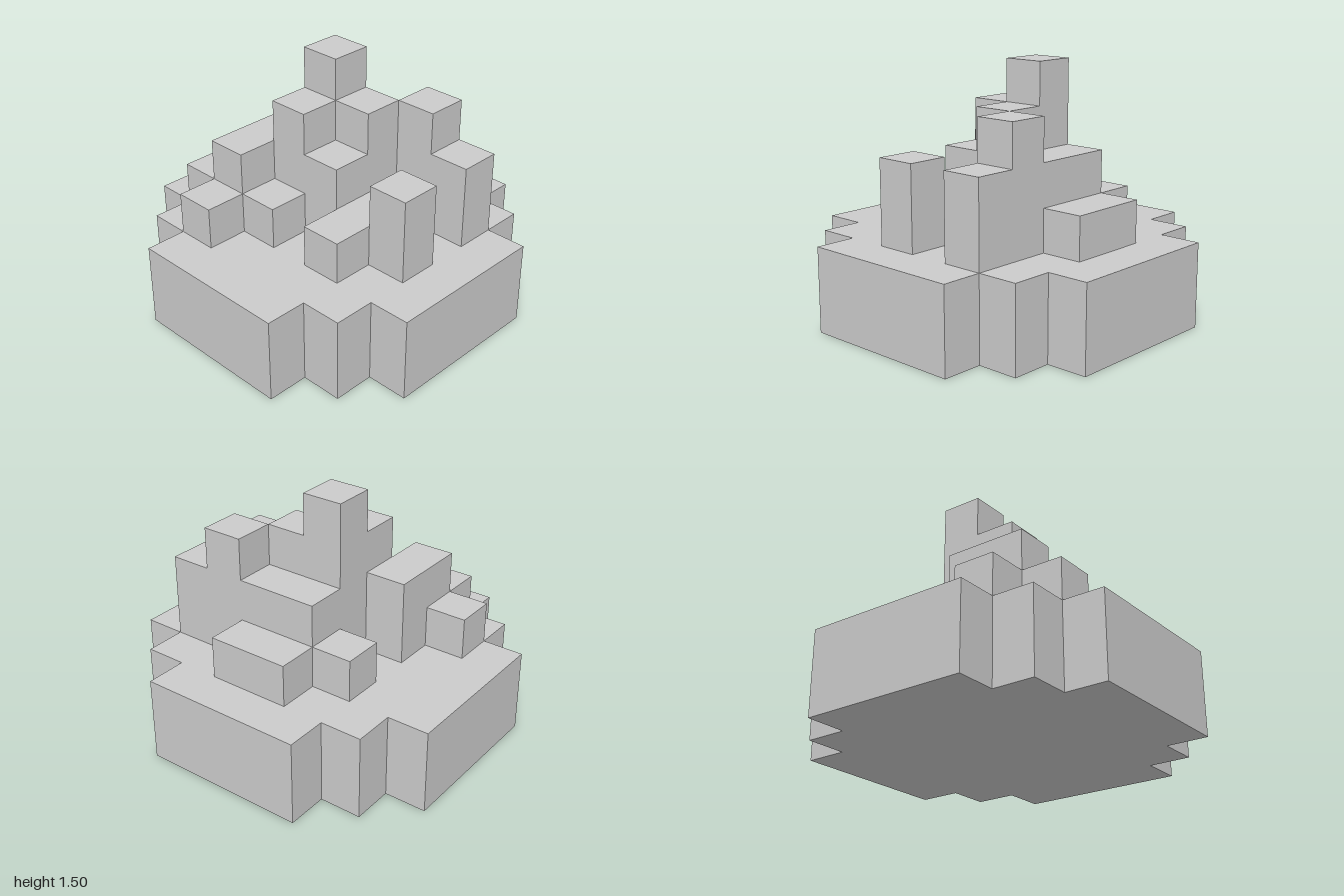
import * as THREE from 'three';

const U = 0.25; // block size
const BASE = 2; // base height in blocks

// Raised columns in block units: name, x0, x1, z0, z1, top height
const COLUMNS = [
  ['peak', -1, 0, -1, 0, 6],
  ['peakFront', -1, 0, 0, 1, 5],
  ['peakSide', 0, 1, -1, 0, 5],
  ['peakCorner', 0, 1, 0, 1, 4],
  ['rearLedge', -1, 1, -2, -1, 4],
  ['rearTower', 1, 2, -2, -1, 5],
  ['rearTowerStep', 2, 3, -2, -1, 4],
  ['rearStep', -1, 1, -3, -2, 3],
  ['rearCornerBlock', -2, -1, -2, -1, 3],
  ['sideWall', -2, -1, 0, 2, 4],
  ['sideBlock', -3, -2, 1, 2, 3],
  ['frontBlock', -2, -1, 2, 3, 3],
  ['frontStep', -1, 0, 1, 2, 3],
  ['lowWall', 1, 2, -1, 2, 3],
  ['pillar', 2, 3, 0, 1, 4],
];

export function createModel() {
  const group = new THREE.Group();
  const material = new THREE.MeshStandardMaterial({ color: 0xcccccc, flatShading: true });

  // Stepped round base: one quarter outline turned four times
  const quarter = [[4, -2], [4, 2], [3, 2], [3, 3], [2, 3]];
  const outline = [];
  for (let q = 0; q < 4; q++) {
    for (const [x, y] of quarter) {
      const [px, py] = [[x, y], [-y, x], [-x, -y], [y, -x]][q];
      outline.push(new THREE.Vector2(px * U, py * U));
    }
  }
  const baseGeometry = new THREE.ExtrudeGeometry(new THREE.Shape(outline), {
    depth: BASE * U,
    bevelEnabled: false,
  });
  baseGeometry.rotateX(-Math.PI / 2);
  const base = new THREE.Mesh(baseGeometry, material);
  base.name = 'base';
  group.add(base);

  // Block columns standing on the base
  for (const [name, x0, x1, z0, z1, top] of COLUMNS) {
    const geometry = new THREE.BoxGeometry((x1 - x0) * U, (top - BASE) * U, (z1 - z0) * U);
    const column = new THREE.Mesh(geometry, material);
    column.position.set(((x0 + x1) / 2) * U, ((top + BASE) / 2) * U, ((z0 + z1) / 2) * U);
    column.name = name;
    group.add(column);
  }
  return group;
}
